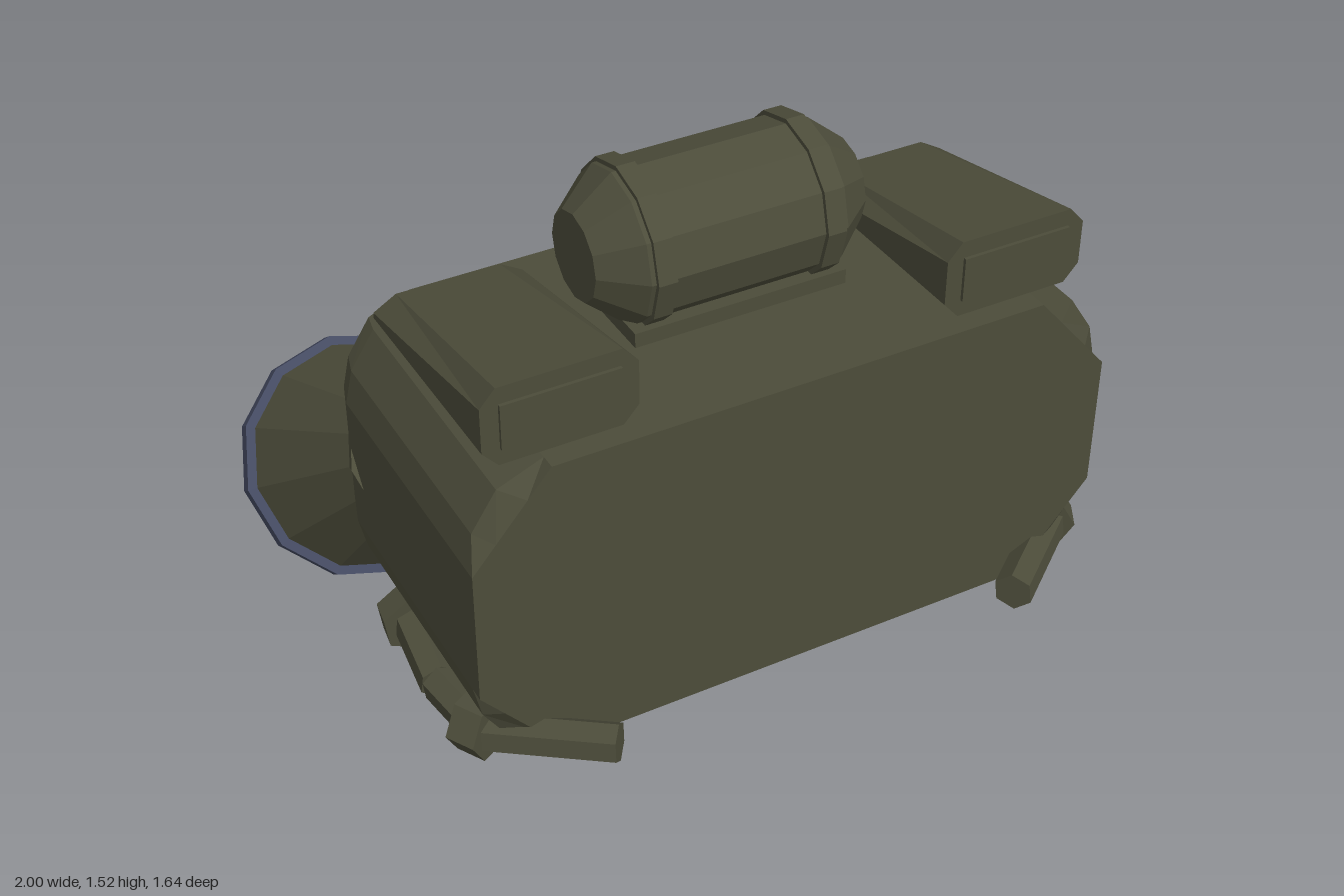
import * as THREE from 'three';

const olive = new THREE.MeshStandardMaterial({ color: 0x4c4c3a });
olive.name = 'olive';
const steelBlue = new THREE.MeshStandardMaterial({ color: 0x444a61 });
steelBlue.name = 'steel blue';
const burntOrange = new THREE.MeshStandardMaterial({ color: 0x9c5a20 });
burntOrange.name = 'burnt orange';

// Faceted mesh: every triangle gets its own normal
function part(name, geometry, material = olive) {
  const g = geometry.index ? geometry.toNonIndexed() : geometry;
  g.computeVertexNormals();
  const mesh = new THREE.Mesh(g, material);
  mesh.name = name;
  return mesh;
}

function box(name, w, h, d, x, y, z) {
  const m = part(name, new THREE.BoxGeometry(w, h, d));
  m.position.set(x, y, z);
  return m;
}

// Closed solid through rings of [x, y, z], counterclockwise seen from +z, front ring first
function loft(rings) {
  const n = rings[0].length, index = [];
  for (let r = 0; r < rings.length - 1; r++) {
    for (let i = 0; i < n; i++) {
      const j = (i + 1) % n, a = r * n + i, b = r * n + j;
      index.push(a, a + n, b, b, a + n, b + n);
    }
  }
  const last = (rings.length - 1) * n;
  for (let i = 1; i < n - 1; i++) {
    index.push(0, i, i + 1, last, last + i + 1, last + i);
  }
  const g = new THREE.BufferGeometry();
  g.setAttribute('position', new THREE.Float32BufferAttribute(rings.flat(2), 3));
  g.setIndex(index);
  return g;
}

// Rectangle with cut corners; corner lists [x, y] insets from the side up to the top
function ring(cx, hw, y0, y1, z, corner) {
  const cy = (y0 + y1) / 2, hh = (y1 - y0) / 2;
  const quad = corner.map(([dx, dy]) => [hw - dx, hh - dy]);
  const back = [...quad].reverse();
  return [
    ...quad,
    ...back.map(([x, y]) => [-x, y]),
    ...quad.map(([x, y]) => [-x, -y]),
    ...back.map(([x, y]) => [x, -y]),
  ].map(([x, y]) => [cx + x, cy + y, z]);
}

// Faceted rod between two points
function rod(name, a, b, r, sides = 6) {
  const dir = b.clone().sub(a);
  const m = part(name, new THREE.CylinderGeometry(r, r, dir.length(), sides));
  m.position.copy(a).add(b).multiplyScalar(0.5);
  m.quaternion.setFromUnitVectors(new THREE.Vector3(0, 1, 0), dir.normalize());
  return m;
}

function lathe(points, sides = 12) {
  return new THREE.LatheGeometry(points.map(([r, y]) => new THREE.Vector2(r, y)), sides);
}

function body() {
  // z, half width, bottom, top
  const sections = [
    [0.67, 0.865, 0.28, 1.13], [0.63, 0.865, 0.28, 1.13], [-0.07, 0.865, 0.28, 1.13],
    [-0.12, 0.85, 0.33, 1.13], [-0.16, 0.83, 0.37, 1.07], [-0.22, 0.79, 0.48, 0.975],
    [-0.28, 0.72, 0.6, 0.88],
  ];
  return part('body', loft(sections.map(([z, w, y0, y1], i) => {
    const cx = w - 0.66, cy = 0.24 * (y1 - y0) / 0.85;
    // straight cuts on the front face, rounder behind it
    const mid = i === 0 ? [[0.3, 0.7], [0.7, 0.3]] : [[0.1, 0.62], [0.42, 0.2]];
    const corner = [[0, 1], ...mid, [1, 0]].map(([u, v]) => [u * cx, v * cy]);
    return ring(0, w, y0, y1, z, corner);
  })));
}

function tank() {
  const g = new THREE.Group();
  g.name = 'tank';
  g.add(part('tankShell', lathe([[0, -0.367], [0.115, -0.367], [0.2, -0.265], [0.2, 0.265], [0.115, 0.367], [0, 0.367]])));
  for (const s of [-1, 1]) {
    const band = part('tankBand', new THREE.CylinderGeometry(0.212, 0.212, 0.05, 12));
    band.position.y = s * 0.228;
    g.add(band);
  }
  g.rotation.z = Math.PI / 2;
  g.position.set(0, 1.32, 0.2);
  return g;
}

function thruster(s) {
  const g = new THREE.Group();
  g.name = s > 0 ? 'leftThruster' : 'rightThruster';
  // bell, waist and inner joint
  g.add(part('thrusterBell', lathe([[0, 0], [0.318, 0], [0.318, 0.06], [0.165, 0.5], [0.22, 0.72], [0, 0.72]])));
  // rim band
  g.add(part('thrusterRim', lathe([[0.316, 0.002], [0.332, 0], [0.34, 0.015], [0.34, 0.065], [0.31, 0.07]]), steelBlue));
  // glowing outlet plate
  const glow = part('thrusterOutlet', new THREE.CylinderGeometry(0.165, 0.165, 0.009, 20), burntOrange);
  glow.position.y = -0.0045;
  g.add(glow);
  g.position.set(s * 0.66, 0.28, -0.614);
  g.rotation.x = 0.933;
  return g;
}

function pod(s) {
  const g = new THREE.Group();
  g.name = s > 0 ? 'leftPod' : 'rightPod';
  const cx = s * 0.605;
  g.add(part('podShell', loft([
    ring(cx, 0.195, 1.13, 1.34, 0.61, [[0, 0.045], [0.04, 0]]),
    ring(cx, 0.195, 1.13, 1.215, 0, [[0, 0.035], [0.06, 0]]),
  ])));
  g.add(box('podFrontPlate', 0.3, 0.12, 0.02, cx, 1.235, 0.609));
  return g;
}

function handle(s) {
  const g = new THREE.Group();
  g.name = s > 0 ? 'leftHandle' : 'rightHandle';
  const p = [[0.565, 0.345, 0.79], [0.82, 0.325, 0.585], [0.85, 0.33, 0.38], [0.825, 0.355, 0.13]]
    .map(([x, y, z]) => new THREE.Vector3(s * x, y, z));
  for (let i = 0; i < 3; i++) g.add(rod('handleBar', p[i], p[i + 1], 0.052));
  // clamps
  for (const z of [0.555, 0.145]) {
    const c = new THREE.Vector3(s * 0.822, z > 0.3 ? 0.33 : 0.35, z);
    const half = new THREE.Vector3(s * (z > 0.3 ? -0.02 : 0.005), 0, 0.035);
    g.add(rod('handleClamp', c.clone().sub(half), c.clone().add(half), 0.085));
  }
  return g;
}

function vent() {
  const g = new THREE.Group();
  g.name = 'vent';
  g.add(box('ventFrame', 0.71, 0.29, 0.04, 0, 0.755, -0.28));
  for (let i = 0; i < 4; i++) {
    const slat = box('ventSlat', 0.69, 0.035, 0.06, 0, 0.855 - i * 0.065, -0.297);
    slat.rotation.x = -0.5;
    g.add(slat);
  }
  return g;
}

export function createModel() {
  const model = new THREE.Group();
  model.name = 'jetPack';
  model.add(body(), tank(), vent());
  model.add(box('tankBase', 0.58, 0.06, 0.32, 0, 1.14, 0.2));
  for (const s of [-1, 1]) model.add(thruster(s), pod(s), handle(s));
  return model;
}
